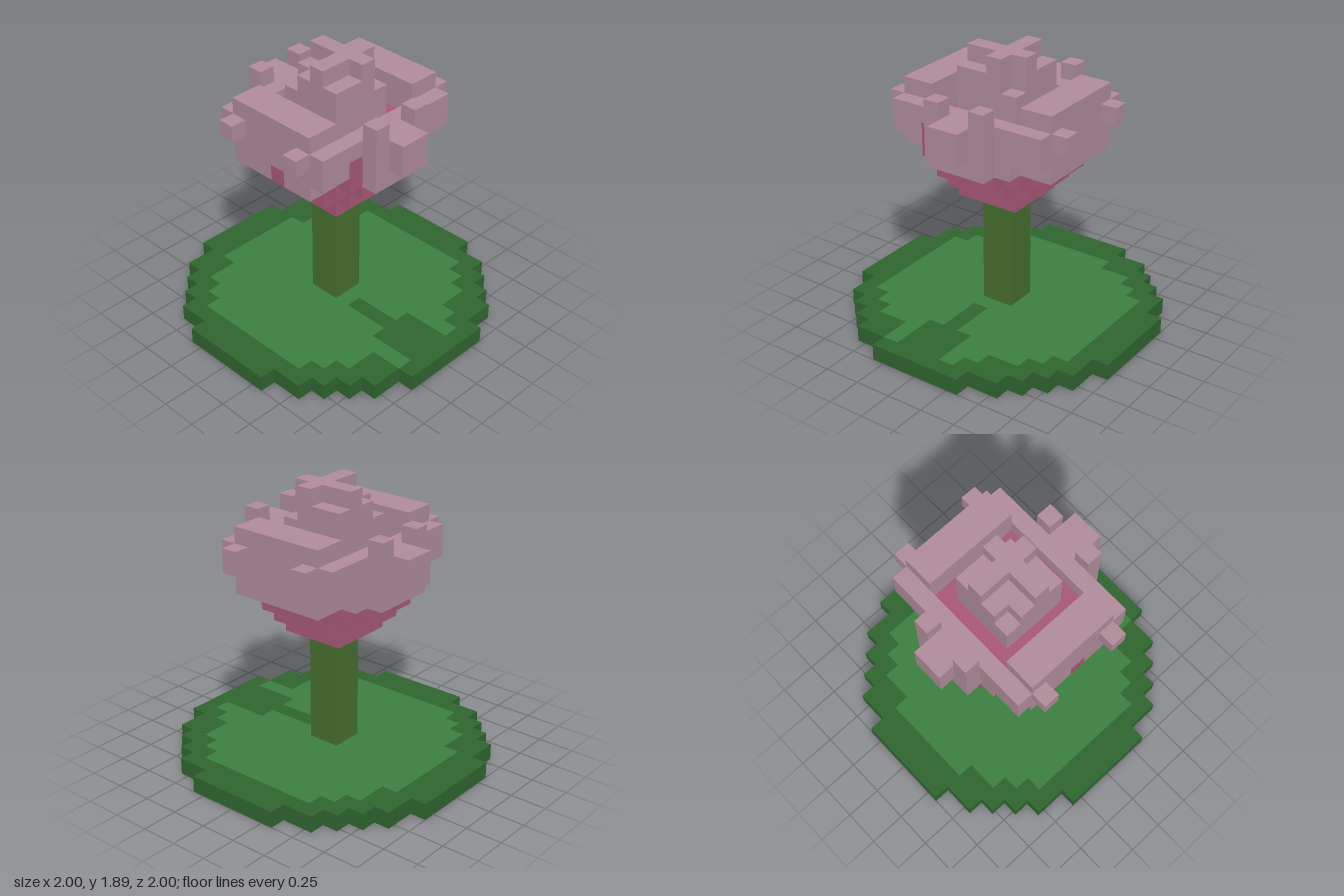
import * as THREE from 'three';

const U = 1 / 9; // one block
const mat = (color) => new THREE.MeshStandardMaterial({ color, flatShading: true });

export function createModel() {
  const flower = new THREE.Group();
  flower.name = 'flower';
  const darkGreen = mat(0x306630), lightGreen = mat(0x3c8040), stemGreen = mat(0x46702f);
  const deepPink = mat(0xa85878), palePink = mat(0xb08c9a);

  const part = (name, parent = flower) => {
    const g = new THREE.Group();
    g.name = name;
    parent.add(g);
    return g;
  };
  // Box given by its limits, in blocks
  const block = (parent, name, m, x0, x1, y0, y1, z0, z1) => {
    if (x1 <= x0) return;
    const mesh = new THREE.Mesh(new THREE.BoxGeometry((x1 - x0) * U, (y1 - y0) * U, (z1 - z0) * U), m);
    mesh.position.set((x0 + x1) / 2 * U, (y0 + y1) / 2 * U, (z0 + z1) / 2 * U);
    mesh.name = name;
    parent.add(mesh);
  };

  // Round leaf pad, row by row: dark rim, light middle, dark cleft towards +x
  const pad = part('leafPad');
  const outer = [9, 9, 9, 8, 8, 7, 6, 5, 3];
  const inner = [7, 7, 7, 6, 6, 5, 4, 0, 0];
  const cleft = { '-2': 8, '-1': 5, 0: 2, 1: 5, 2: 8 };
  for (let z = -9; z < 9; z++) {
    const i = z < 0 ? -z - 1 : z;
    const w = outer[i], l = inner[i], r = cleft[z] ?? l;
    block(pad, 'padRim', darkGreen, -w, -l, 0, 1, z, z + 1);
    block(pad, 'padMiddle', lightGreen, -l, r, 0, 1, z, z + 1);
    block(pad, 'padRim', darkGreen, r, w, 0, 1, z, z + 1);
  }

  block(flower, 'stem', stemGreen, -1, 1, 1, 8, -1, 1);

  // Stepped cup with notched corners, and the core inside the petals
  const cup = part('cup');
  [[[2, 2]], [[3, 2], [2, 3]], [[4, 2], [3, 3], [2, 4]]].forEach((layer, i) =>
    layer.forEach(([x, z]) => block(cup, 'cupLayer', deepPink, -x, x, 8 + i, 9 + i, -z, z)));
  block(cup, 'core', deepPink, -3, 3, 11, 13, -3, 3);
  block(cup, 'coreCorner', deepPink, 3, 4, 11, 13, 2, 3);
  block(cup, 'petalSpot', deepPink, 0, 1, 11, 12, 4, 5.03);

  // Front and back petals with two outward tips each
  for (const s of [1, -1]) {
    const petal = part(s > 0 ? 'frontPetal' : 'backPetal');
    const zBox = (x0, x1, y0, y1, a, b) =>
      block(petal, 'petalBlock', palePink, x0, x1, y0, y1, Math.min(s * a, s * b), Math.max(s * a, s * b));
    zBox(-3, 3, 11, 14, 3, 5);
    zBox(-3, 3, 14, 15, 3, 5);
    for (const t of [1, -1]) {
      const x = t > 0 ? [3, 4] : [-4, -3];
      zBox(...x, 12, 14, 3, 5);
      if (s < 0 || t < 0) zBox(...x, 11, 14, 2, 3);
      else zBox(...x, 13, 14, 2, 3);
      zBox(...(t > 0 ? [2, 3] : [-3, -2]), 13, 14, 5, 6);
    }
  }

  // Side petals with a blunt outward tip and two upright horns
  for (const s of [1, -1]) {
    const petal = part(s > 0 ? 'leftPetal' : 'rightPetal');
    const xBox = (a, b, y0, y1, z0, z1) =>
      block(petal, 'petalBlock', palePink, Math.min(s * a, s * b), Math.max(s * a, s * b), y0, y1, z0, z1);
    xBox(3, 5, 11, 14, -2, 2);
    xBox(5, 6, 12, 14, -1, 1);
    xBox(4, 5, 14, 15, -2, -1);
    xBox(4, 5, 14, 15, 1, 2);
  }

  // Central bud, narrowing to a crossed tip
  const bud = part('bud');
  block(bud, 'budBase', palePink, -2, 2, 13, 15, -2, 2);
  block(bud, 'budMiddle', palePink, -1, 2, 15, 16, -1, 2);
  block(bud, 'budMiddleSide', palePink, -2, -1, 15, 16, -2, 1);
  block(bud, 'budMiddleBack', palePink, -1, 1, 15, 16, -2, -1);
  block(bud, 'budTip', palePink, -2, 2, 16, 17, -1, 0);
  block(bud, 'budTipFront', palePink, 0, 1, 16, 17, 0, 2);
  block(bud, 'budTipBack', palePink, 0, 1, 16, 17, -2, -1);
  return flower;
}
